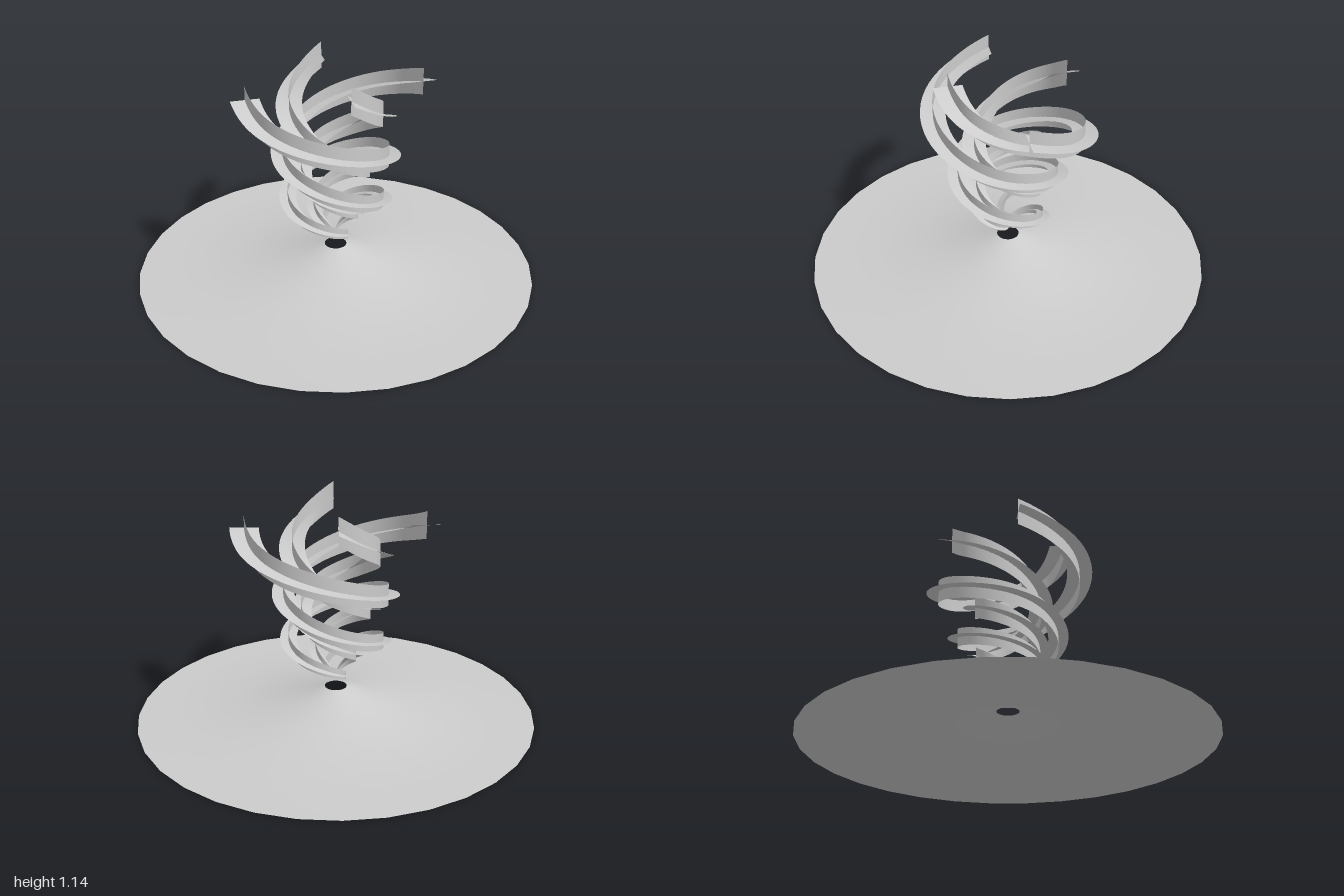
import * as THREE from 'three';

const material = new THREE.MeshStandardMaterial({ color: 0xcccccc, side: THREE.DoubleSide });

// Path points are (angle in degrees, radius, height), from the free tip down to the centre.
const outerPath = [
  [-33, 0.437, 1.0], [0, 0.42, 0.91], [90, 0.285, 0.73], [180, 0.25, 0.61],
  [270, 0.245, 0.48], [360, 0.215, 0.365], [450, 0.085, 0.245], [500, 0.02, 0.21],
];
const innerPath = [
  [-33, 0.285, 1.07], [0, 0.262, 0.97], [90, 0.175, 0.78], [180, 0.165, 0.65],
  [270, 0.17, 0.52], [360, 0.135, 0.39], [450, 0.055, 0.27], [500, 0.015, 0.21],
];

// One strip of a ribbon, either upright or lying flat and pointing outward.
function stripGeometry(path, upright) {
  const steps = 110;
  const curve = new THREE.CatmullRomCurve3(
    path.map(([a, r, y]) => new THREE.Vector3(THREE.MathUtils.degToRad(a), r, y)));
  const positions = [];
  const indices = [];
  for (let i = 0; i <= steps; i++) {
    const p = curve.getPoint(i / steps);
    // the strip narrows toward the bottom
    const half = 0.07 * Math.min(1, Math.pow(Math.max(p.z - 0.2, 0.001) / 0.8, 0.4));
    for (const side of [-1, 1]) {
      const r = p.y + (upright ? 0 : side * half);
      const y = p.z + (upright ? side * half : 0);
      positions.push(-Math.cos(p.x) * r, Math.max(y, 0.19), Math.sin(p.x) * r);
    }
    if (i < steps) {
      const k = i * 2;
      indices.push(k, k + 2, k + 1, k + 1, k + 2, k + 3);
    }
  }
  const geometry = new THREE.BufferGeometry();
  geometry.setAttribute('position', new THREE.Float32BufferAttribute(positions, 3));
  geometry.setIndex(indices);
  geometry.computeVertexNormals();
  return geometry;
}

// A spiral ribbon with a cross-shaped section.
function ribbon(name, path, turn) {
  const group = new THREE.Group();
  group.name = name;
  for (const upright of [true, false]) {
    const mesh = new THREE.Mesh(stripGeometry(path, upright), material);
    mesh.name = upright ? 'uprightStrip' : 'flatStrip';
    group.add(mesh);
  }
  group.rotation.y = turn;
  return group;
}

export function createModel() {
  const model = new THREE.Group();
  model.name = 'whirlwind';

  // Thin flared mound with an open hole in the middle
  const profile = [[1, 0], [0.83, 0.004], [0.67, 0.012], [0.5, 0.03], [0.35, 0.06],
    [0.19, 0.1], [0.055, 0.155]].map(([r, y]) => new THREE.Vector2(r, y));
  const mound = new THREE.Mesh(new THREE.LatheGeometry(profile, 32), material);
  mound.name = 'groundMound';
  model.add(mound);

  // Two wide and two tight ribbons, each pair half a turn apart
  for (let i = 0; i < 2; i++) {
    model.add(ribbon('outerRibbon', outerPath, i * Math.PI));
    model.add(ribbon('innerRibbon', innerPath, Math.PI / 2 + i * Math.PI));
  }
  return model;
}
